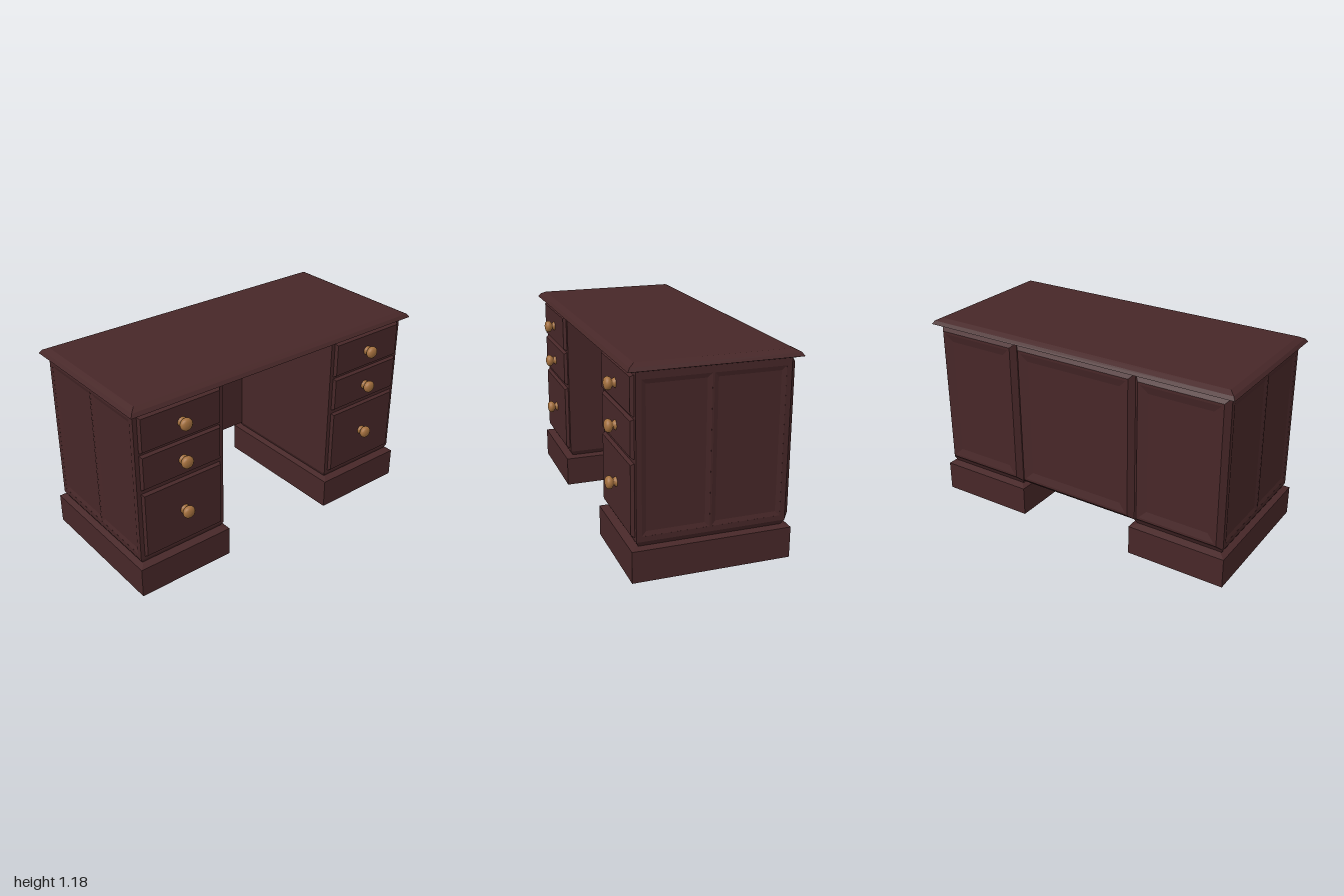
import * as THREE from 'three';

const wood = new THREE.MeshStandardMaterial({ color: 0x472728 });
wood.name = 'mahogany';
const brass = new THREE.MeshStandardMaterial({ color: 0xa4703e });
brass.name = 'brass';

// Stack of rectangles rising along y; profile is a list of [inset, height]
function loft(x0, x1, z0, z1, profile) {
  const rings = profile.map(([i, h]) => [
    [x0 + i, h, z1 - i], [x1 - i, h, z1 - i], [x1 - i, h, z0 + i], [x0 + i, h, z0 + i],
  ]);
  const pos = [];
  const quad = (a, b, c, d) => pos.push(...a, ...b, ...c, ...a, ...c, ...d);
  for (let r = 0; r < rings.length - 1; r++) {
    for (let i = 0; i < 4; i++) {
      const j = (i + 1) % 4;
      quad(rings[r][i], rings[r][j], rings[r + 1][j], rings[r + 1][i]);
    }
  }
  quad(...rings[rings.length - 1]);
  quad(...[...rings[0]].reverse());
  const g = new THREE.BufferGeometry();
  g.setAttribute('position', new THREE.Float32BufferAttribute(pos, 3));
  g.computeVertexNormals();
  return g;
}

// The same loft pointing to the front, the back or a side
const frontLoft = (x0, x1, y0, y1, p) => loft(x0, x1, -y1, -y0, p).rotateX(Math.PI / 2);
const backLoft = (x0, x1, y0, y1, p) => loft(x0, x1, y0, y1, p).rotateX(-Math.PI / 2);
const sideLoft = (s, y0, y1, z0, z1, p) => s > 0
  ? loft(-y1, -y0, z0, z1, p).rotateZ(-Math.PI / 2)
  : loft(y0, y1, z0, z1, p).rotateZ(Math.PI / 2);

function add(group, name, geometry, material = wood) {
  const mesh = new THREE.Mesh(geometry, material);
  mesh.name = name;
  group.add(mesh);
  return mesh;
}

const BOTTOM = 0.22, TOP = 1.13, FRONT = 0.41, BACK = -0.435;
const BACK_PANEL = [[0, 0.43], [0, 0.435], [0.03, 0.465], [0.045, 0.465], [0.09, 0.453]];
const WINDOWS = [[0.005, 0.38], [-0.405, -0.005]];
const DRAWERS = [[0.895, 1.108, 1.0], [0.67, 0.88, 0.77], [0.24, 0.645, 0.45]];

// Side frame with two openings
function sideFrame() {
  const rect = (P, z0, z1, y0, y1) => new P([
    new THREE.Vector2(-z1, y0), new THREE.Vector2(-z0, y0),
    new THREE.Vector2(-z0, y1), new THREE.Vector2(-z1, y1),
  ]);
  const shape = rect(THREE.Shape, BACK, FRONT, BOTTOM, TOP);
  for (const [z0, z1] of WINDOWS) shape.holes.push(rect(THREE.Path, z0, z1, 0.25, 1.09));
  return new THREE.ExtrudeGeometry(shape, { depth: 0.01, bevelEnabled: false }).rotateY(Math.PI / 2);
}

// Round turned knob pointing forward
function knobGeometry() {
  const pts = [[0.028, 0], [0.026, 0.005], [0.019, 0.014], [0.022, 0.02], [0.033, 0.027],
    [0.037, 0.038], [0.035, 0.049], [0.027, 0.057], [0.014, 0.061], [0, 0.062]];
  return new THREE.LatheGeometry(pts.map(([r, h]) => new THREE.Vector2(r, h)), 20).rotateX(Math.PI / 2);
}

function pedestal(s) {
  const g = new THREE.Group();
  g.name = s > 0 ? 'leftPedestal' : 'rightPedestal';
  const range = (a, b) => (s > 0 ? [a, b] : [-b, -a]);

  // Plinth, tapered neck and carcass
  add(g, 'plinth', loft(...range(0.38, 0.985), -0.465, 0.44, [[0, 0], [0, 0.18], [0.045, 0.195]]));
  add(g, 'neck', loft(...range(0.4, 0.965), BACK, FRONT, [[0.015, 0.185], [0.015, 0.192], [0, BOTTOM]]));
  add(g, 'carcass', loft(...range(0.4, 0.955), BACK, FRONT, [[0, BOTTOM], [0, TOP]]));

  // Outer side with two recessed panels
  add(g, 'sideFrame', sideFrame()).position.x = s > 0 ? 0.955 : -0.965;
  for (const [z0, z1] of WINDOWS) {
    add(g, 'sidePanel', sideLoft(s, 0.25, 1.09, z0, z1, [[0, 0.95], [0, 0.9645], [0.025, 0.957]]));
  }
  add(g, 'backPanel', backLoft(...range(0.4, 0.965), BOTTOM, TOP, BACK_PANEL));

  // Drawers with knobs
  for (const [y0, y1, knobY] of DRAWERS) {
    add(g, 'drawerFront', frontLoft(...range(0.425, 0.94), y0, y1, [[0, 0.405], [0, 0.414], [0.009, 0.429]]));
    add(g, 'knob', knobGeometry(), brass).position.set(s * 0.68, knobY, 0.428);
  }
  return g;
}

export function createModel() {
  const desk = new THREE.Group();
  desk.name = 'desk';

  desk.add(pedestal(1), pedestal(-1));

  // Back of the knee space
  add(desk, 'kneePanel', loft(-0.4, 0.4, BACK, -0.41, [[0, BOTTOM], [0, TOP]]));
  add(desk, 'centreBackPanel', backLoft(-0.4, 0.4, BOTTOM, TOP, BACK_PANEL));

  // Moulded top
  add(desk, 'deskTop', loft(-1, 1, -0.488, 0.46,
    [[0.045, 1.125], [0, 1.14], [0.014, 1.16], [0.045, 1.176]]));
  return desk;
}
